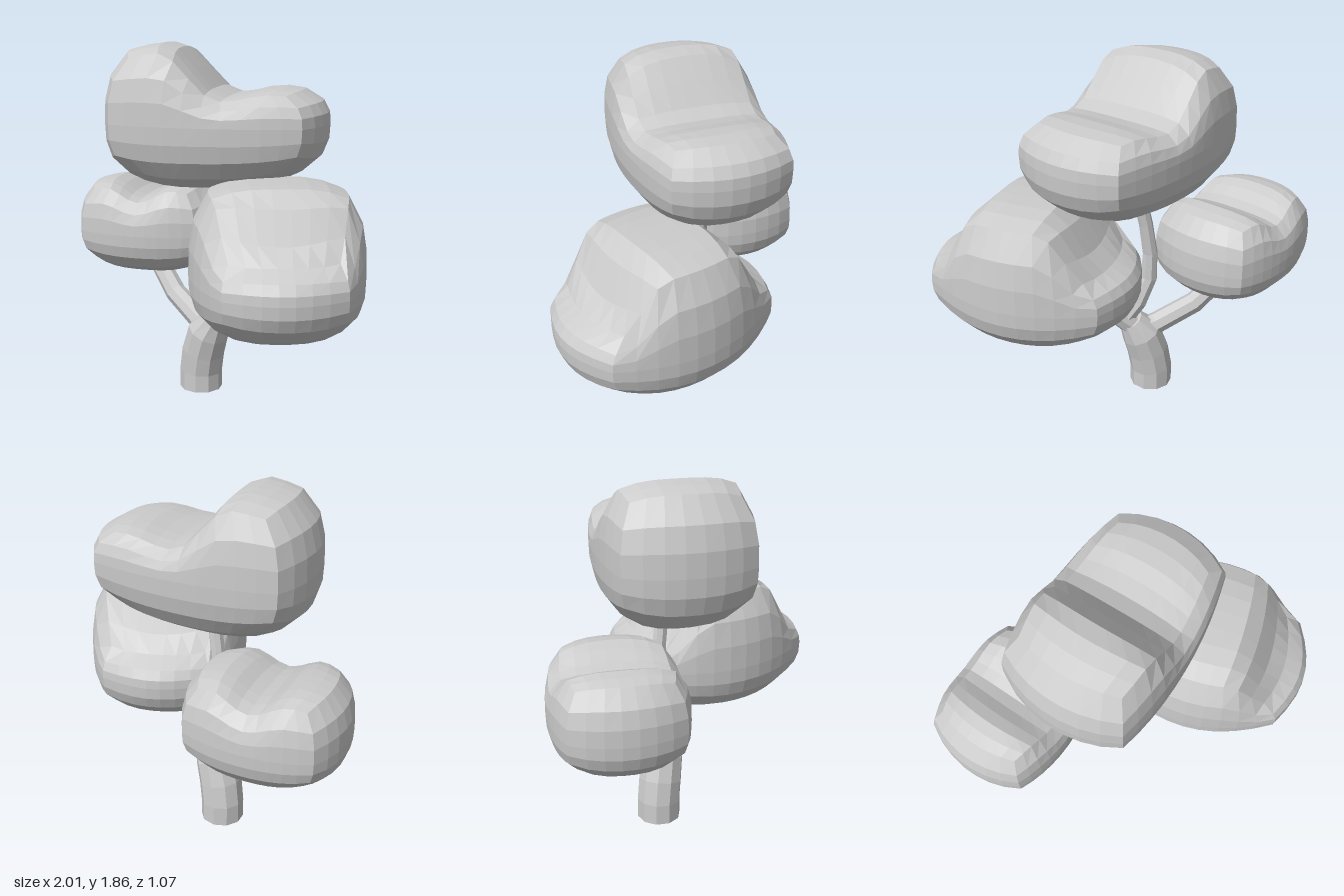
import * as THREE from 'three';

const material = new THREE.MeshStandardMaterial({ color: 0xcccccc, flatShading: true });
const step = THREE.MathUtils.smoothstep;

// Faceted limb: a cylinder bent through rings given as [x, y, z, radius]
function limb(name, rings, sides = 8) {
  const last = rings.length - 1;
  const geometry = new THREE.CylinderGeometry(1, 1, 1, sides, last);
  const centres = rings.map(([x, y, z]) => new THREE.Vector3(x, y, z));
  const up = new THREE.Vector3(0, 1, 0);
  const turns = centres.map((_, i) => {
    const along = centres[Math.min(i + 1, last)].clone().sub(centres[Math.max(i - 1, 0)]).normalize();
    return new THREE.Quaternion().setFromUnitVectors(up, along);
  });
  const pos = geometry.attributes.position;
  const p = new THREE.Vector3();
  for (let k = 0; k < pos.count; k++) {
    p.fromBufferAttribute(pos, k);
    const i = Math.round((p.y + 0.5) * last);
    p.setY(0).multiplyScalar(rings[i][3]).applyQuaternion(turns[i]).add(centres[i]);
    pos.setXYZ(k, p.x, p.y, p.z);
  }
  geometry.computeVertexNormals();
  const mesh = new THREE.Mesh(geometry, material);
  mesh.name = name;
  return mesh;
}

// Foliage clump: a rounded box whose top, bottom and width vary along its length
function clump(name, { x, z, turn, length, width, plan, mid, top, bottom, taper }) {
  const geometry = new THREE.BoxGeometry(2, 2, 2, 10, 6, 7);
  const pos = geometry.attributes.position;
  const round = (v, p, q) => v * Math.sqrt(1 - p / 2 - q / 2 + p * q / 3);
  for (let k = 0; k < pos.count; k++) {
    const a = pos.getX(k), b = pos.getY(k), c = pos.getZ(k);
    // Cubed terms keep the flanks steep; the crown is flatter than the underside
    const [a3, b3, c3] = [a, b, c].map(v => Math.abs(v) ** 3);
    const sag = b > 0 ? 0.42 : 0.8;
    const t = round(a, plan * c * c, 0.8 * b3);
    const h = round(b, sag * a3, sag * c3);
    const w = round(c, plan * a * a, 0.8 * b3);
    pos.setXYZ(k,
      t * length,
      mid + h * (h > 0 ? top(t) - mid : mid - bottom(t)),
      w * width * taper(t));
  }
  geometry.computeVertexNormals();
  const mesh = new THREE.Mesh(geometry, material);
  mesh.name = name;
  mesh.position.set(x, 0, z);
  mesh.rotation.y = turn;
  return mesh;
}

export function createModel() {
  const tree = new THREE.Group();
  tree.name = 'tree';

  // Trunk and three branches
  tree.add(
    limb('trunk', [
      [-0.14, 0, 0.01, 0.114], [-0.14, 0.1, 0.01, 0.114], [-0.12, 0.21, 0.01, 0.114],
      [-0.08, 0.33, 0.005, 0.11], [-0.02, 0.42, 0, 0.068],
    ], 10),
    limb('leftBranch', [
      [-0.04, 0.345, 0, 0.06], [-0.16, 0.37, 0, 0.06], [-0.38, 0.47, 0, 0.058],
      [-0.52, 0.6, 0, 0.055], [-0.58, 0.74, 0, 0.045],
    ]),
    limb('middleBranch', [
      [0.03, 0.42, 0, 0.052], [-0.06, 0.53, 0, 0.05], [-0.12, 0.67, 0, 0.046],
      [-0.125, 0.82, 0, 0.04], [-0.1, 0.99, 0, 0.037], [-0.05, 1.22, 0, 0.036],
    ]),
    limb('rightBranch', [
      [-0.04, 0.38, 0, 0.064], [0.05, 0.46, 0, 0.057], [0.2, 0.57, 0, 0.053], [0.34, 0.7, 0, 0.05],
    ]),
  );

  // Foliage
  tree.add(
    clump('topFoliage', {
      x: -0.01, z: -0.005, turn: 0.66, length: 0.565, width: 0.37, plan: 0.6, mid: 1.47,
      top: t => 1.865 - 0.26 * step(t, -0.42, 0.12) + 0.05 * step(t, 0.15, 0.6),
      bottom: t => 1.14 + 0.03 * t,
      taper: t => 1 - 0.05 * t,
    }),
    clump('leftFoliage', {
      x: -0.585, z: 0, turn: 0.62, length: 0.4, width: 0.335, plan: 0.7, mid: 0.83,
      top: t => 1.02 + 0.09 * step(Math.abs(t), 0, 0.5),
      bottom: () => 0.59,
      taper: () => 1,
    }),
    clump('rightFoliage', {
      x: 0.47, z: 0.02, turn: -0.645, length: 0.545, width: 0.425, plan: 0.6, mid: 0.78,
      top: t => 1.225 - 0.29 * step(Math.abs(t), 0.32, 0.76),
      bottom: t => 0.485 + 0.06 * t * t,
      taper: t => 1 - 0.3 * t * t,
    }),
  );
  return tree;
}
